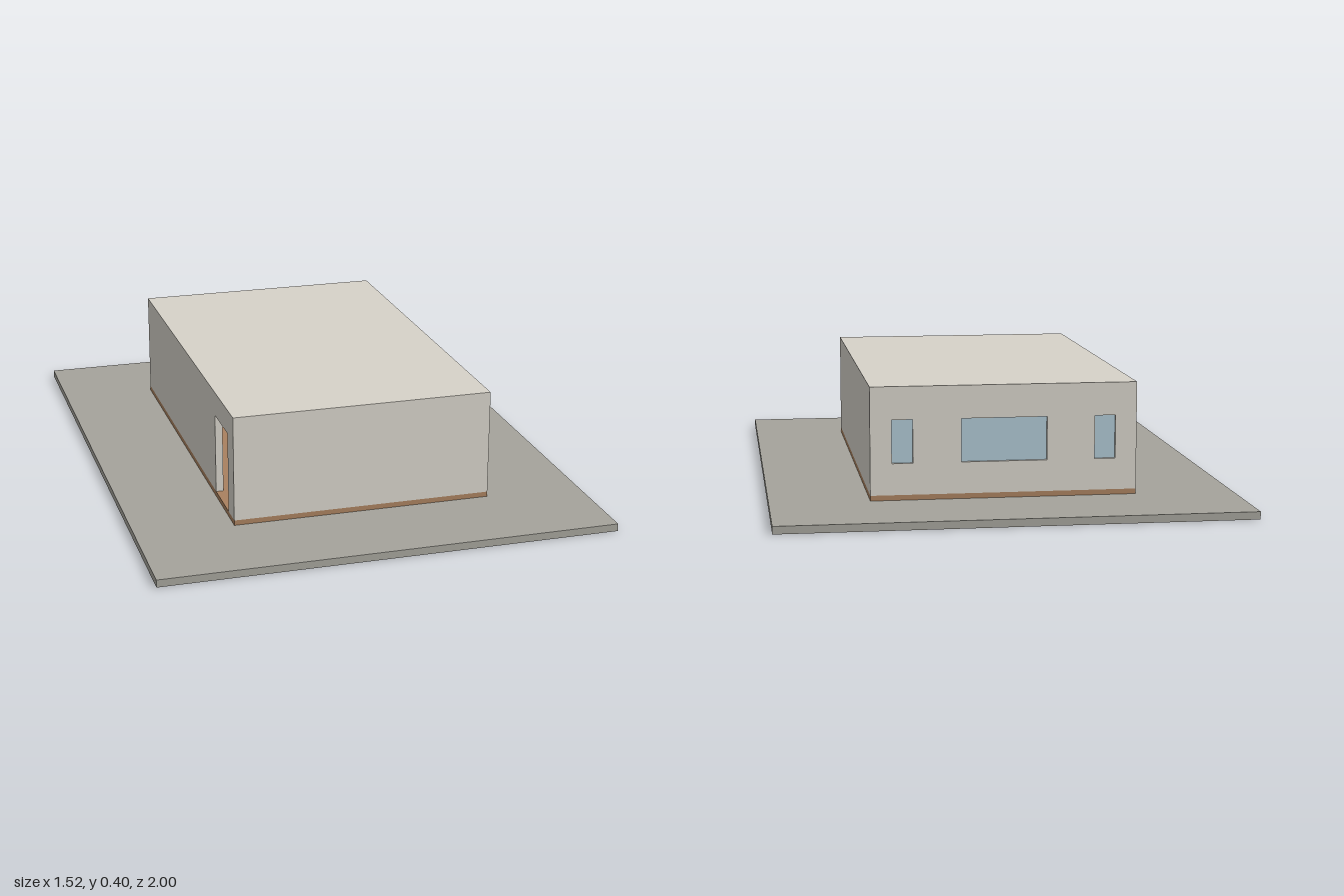
import * as THREE from 'three';

const HX = 0.435, HZ = 0.67;      // half footprint of the house
const GROUND = 0.025, FLOOR = 0.042, TOP = 0.395;
const WALL = 0.025;               // wall and roof thickness
const EAVE = TOP - WALL;

const mat = (color) => new THREE.MeshStandardMaterial({ color, flatShading: true });

function addBox(parent, name, material, x0, x1, y0, y1, z0, z1) {
  const mesh = new THREE.Mesh(new THREE.BoxGeometry(x1 - x0, y1 - y0, z1 - z0), material);
  mesh.position.set((x0 + x1) / 2, (y0 + y1) / 2, (z0 + z1) / 2);
  mesh.name = name;
  parent.add(mesh);
  return mesh;
}

const outline = (pts) => pts.map(([x, y]) => new THREE.Vector2(x, y));
const rect = (x0, x1, y0, y1) => outline([[x0, y0], [x1, y0], [x1, y1], [x0, y1]]);

function addWall(parent, name, material, points, holes = []) {
  const shape = new THREE.Shape(points);
  for (const h of holes) shape.holes.push(new THREE.Path(rect(...h).reverse()));
  const geometry = new THREE.ExtrudeGeometry(shape, { depth: WALL, bevelEnabled: false });
  const mesh = new THREE.Mesh(geometry, material);
  mesh.name = name;
  parent.add(mesh);
  return mesh;
}

export function createModel() {
  const model = new THREE.Group();
  model.name = 'house';
  const plaster = mat(0xd6d2c9), paving = mat(0xa5a39b), wood = mat(0xa9815f), glass = mat(0xaec6d2);

  // Ground plate and floor slab
  addBox(model, 'ground', paving, -0.76, 0.76, 0, GROUND, -1, 1);
  addBox(model, 'floor', wood, -HX, HX, GROUND, FLOOR, -HZ, HZ);

  // Plain walls and flat roof
  addBox(model, 'frontWall', plaster, -HX, HX, FLOOR, EAVE, HZ - WALL, HZ);
  addBox(model, 'plainSideWall', plaster, HX - WALL, HX, FLOOR, EAVE, -HZ + WALL, HZ - WALL);
  addBox(model, 'roof', plaster, -HX, HX, EAVE, TOP, -HZ, HZ);

  // Back wall with three windows, panes set into the openings
  const windows = [[-0.365, -0.297], [-0.14, 0.14], [0.297, 0.365]]
    .map(([a, b]) => [a, b, 0.145, 0.287]);
  addWall(model, 'backWall', plaster, rect(-HX, HX, FLOOR, EAVE), windows).position.z = -HZ;
  for (const w of windows) addBox(model, 'windowPane', glass, ...w, -HZ + 0.01, -HZ + 0.015);

  // Side wall with an open doorway near the front, drawn along z
  const d0 = 0.42, d1 = 0.593, lintel = 0.314, end = HZ - WALL;
  const doorWall = addWall(model, 'doorWall', plaster, outline([
    [-end, FLOOR], [d0, FLOOR], [d0, lintel], [d1, lintel],
    [d1, FLOOR], [end, FLOOR], [end, EAVE], [-end, EAVE],
  ]));
  doorWall.rotation.y = -Math.PI / 2;
  doorWall.position.x = -HX + WALL;

  return model;
}
